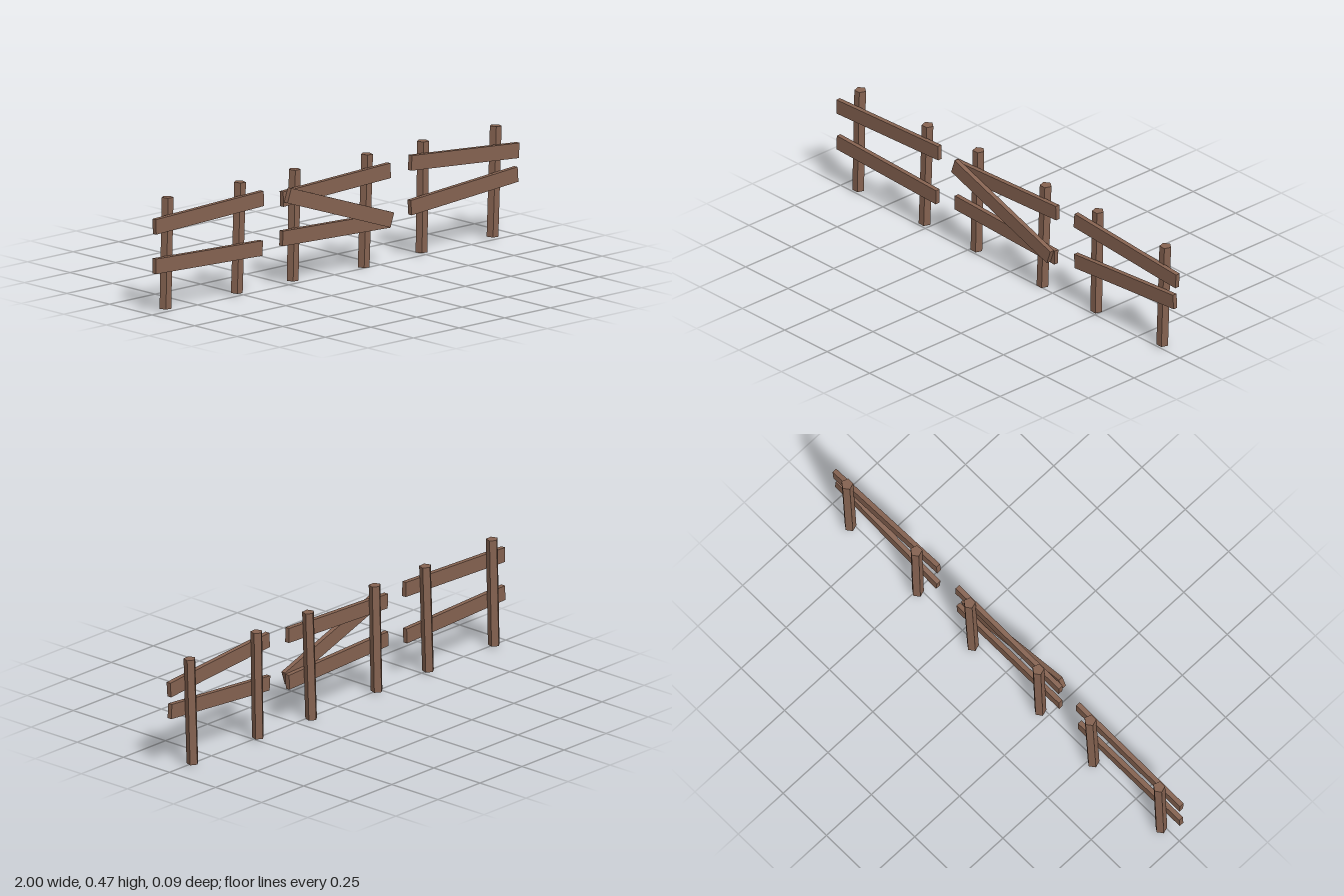
import * as THREE from 'three';

const wood = new THREE.MeshStandardMaterial({ color: 0x866351, flatShading: true });
const UP = new THREE.Vector3(0, 1, 0);

// Five-sided post leaning from its foot to its top, flat side to the front
function makePost([footX, footY, topX, topY]) {
  const foot = new THREE.Vector3(footX, footY, -0.017);
  const top = new THREE.Vector3(topX, topY, -0.017);
  const axis = top.clone().sub(foot);
  const geometry = new THREE.CylinderGeometry(0.025, 0.025, axis.length(), 5);
  geometry.rotateY(Math.PI);
  const post = new THREE.Mesh(geometry, wood);
  post.name = 'post';
  post.position.copy(foot).add(top).multiplyScalar(0.5);
  post.quaternion.setFromUnitVectors(UP, axis.normalize());
  return post;
}

// Flat board between the centres of its two ends
function makeBoard(name, [x0, y0, z0, x1, y1, z1]) {
  const a = new THREE.Vector3(x0, y0, z0);
  const b = new THREE.Vector3(x1, y1, z1);
  const d = b.clone().sub(a);
  const board = new THREE.Mesh(new THREE.BoxGeometry(d.length(), 0.062, 0.02), wood);
  board.name = name;
  board.position.copy(a).add(b).multiplyScalar(0.5);
  board.rotation.set(0, -Math.atan2(d.z, d.x), Math.atan2(d.y, Math.hypot(d.x, d.z)));
  return board;
}

// Posts: foot x, foot y, top x, top y. Boards: both end centres
const sections = [
  {
    name: 'rightSection',
    posts: [[-0.912, 0.01, -0.9, 0.467], [-0.521, 0.01, -0.503, 0.464]],
    upperRail: [-0.999, 0.366, 0.013, -0.405, 0.385, 0.009],
    lowerRail: [-0.999, 0.203, 0.012, -0.414, 0.182, 0.012],
  },
  {
    name: 'middleSection',
    posts: [[-0.215, 0.01, -0.203, 0.467], [0.174, 0.001, 0.193, 0.464]],
    upperRail: [-0.302, 0.365, 0.013, 0.29, 0.385, 0.009],
    lowerRail: [-0.304, 0.203, 0.012, 0.285, 0.182, 0.012],
    brace: [-0.289, 0.382, 0.035, 0.275, 0.188, 0.035],
  },
  {
    name: 'leftSection',
    posts: [[0.491, 0.01, 0.5, 0.467], [0.88, 0.01, 0.898, 0.464]],
    upperRail: [0.401, 0.398, 0.013, 0.995, 0.351, 0.008],
    lowerRail: [0.401, 0.213, 0.011, 0.985, 0.255, 0.012],
  },
];

export function createModel() {
  const fence = new THREE.Group();
  fence.name = 'woodenFence';
  for (const { name, posts, ...boards } of sections) {
    const section = new THREE.Group();
    section.name = name;
    posts.forEach((p) => section.add(makePost(p)));
    for (const [boardName, ends] of Object.entries(boards)) section.add(makeBoard(boardName, ends));
    fence.add(section);
  }
  return fence;
}
